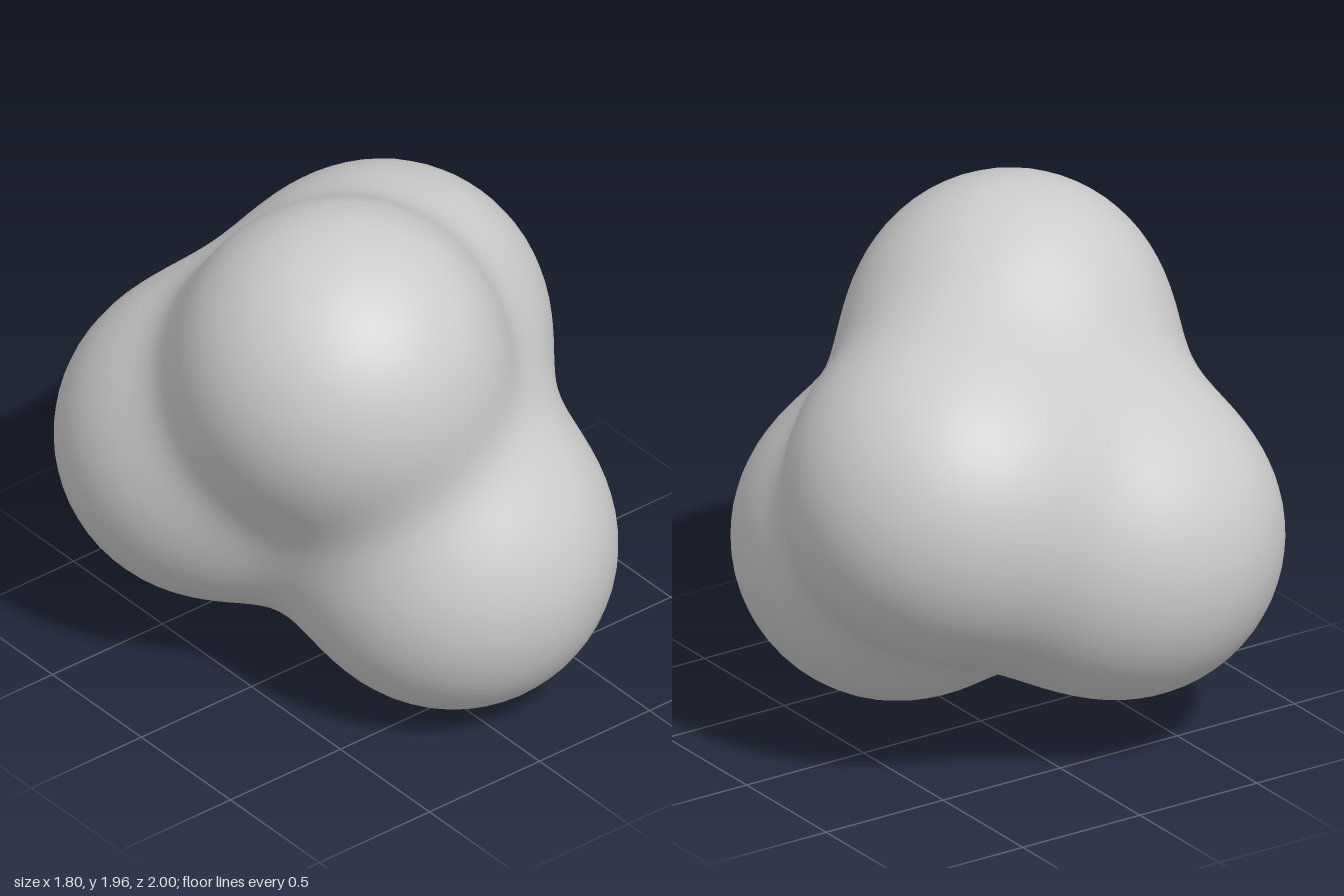
import * as THREE from 'three';
import { mergeVertices } from 'three/addons/utils/BufferGeometryUtils.js';

// Four round lobes: centre and radius
const lobes = [
  { c: new THREE.Vector3(-0.25, 1.41, 0.18), r: 0.575 }, // top
  { c: new THREE.Vector3(0.08, 0.61, 0.42), r: 0.58 }, // front, low
  { c: new THREE.Vector3(0.31, 1.09, -0.26), r: 0.585 }, // left side
  { c: new THREE.Vector3(-0.32, 0.82, -0.41), r: 0.58 }, // rear, right side
];
const SHARPNESS = 8;

// Smooth union of the lobes: above 1 inside, below 1 outside
const field = (p) =>
  lobes.reduce((sum, { c, r }) => sum + Math.exp(-SHARPNESS * (p.distanceTo(c) - r)), 0);

// Distance from the core to the blended surface along a direction
function surfaceDistance(core, dir) {
  const p = new THREE.Vector3();
  let near = 0, far = 2;
  for (let i = 0; i < 24; i++) {
    const mid = (near + far) / 2;
    if (field(p.copy(core).addScaledVector(dir, mid)) > 1) near = mid;
    else far = mid;
  }
  return near;
}

export function createModel() {
  const group = new THREE.Group();
  group.name = 'lobedBlob';

  const core = new THREE.Vector3();
  lobes.forEach(({ c }) => core.addScaledVector(c, 1 / lobes.length));

  // Push every vertex of a fine sphere out to the blended surface
  let geometry = new THREE.IcosahedronGeometry(1, 18);
  geometry.deleteAttribute('uv');
  geometry.deleteAttribute('normal');
  geometry = mergeVertices(geometry, 1e-4);
  const pos = geometry.attributes.position;
  const dir = new THREE.Vector3();
  for (let i = 0; i < pos.count; i++) {
    dir.fromBufferAttribute(pos, i).normalize();
    const d = surfaceDistance(core, dir);
    dir.multiplyScalar(d).add(core);
    pos.setXYZ(i, dir.x, dir.y, dir.z);
  }
  // Stand the body on the floor
  geometry.computeBoundingBox();
  geometry.translate(0, -geometry.boundingBox.min.y, 0);
  geometry.computeVertexNormals();

  const body = new THREE.Mesh(geometry, new THREE.MeshStandardMaterial({ color: 0xcccccc }));
  body.name = 'body';
  group.add(body);
  return group;
}
